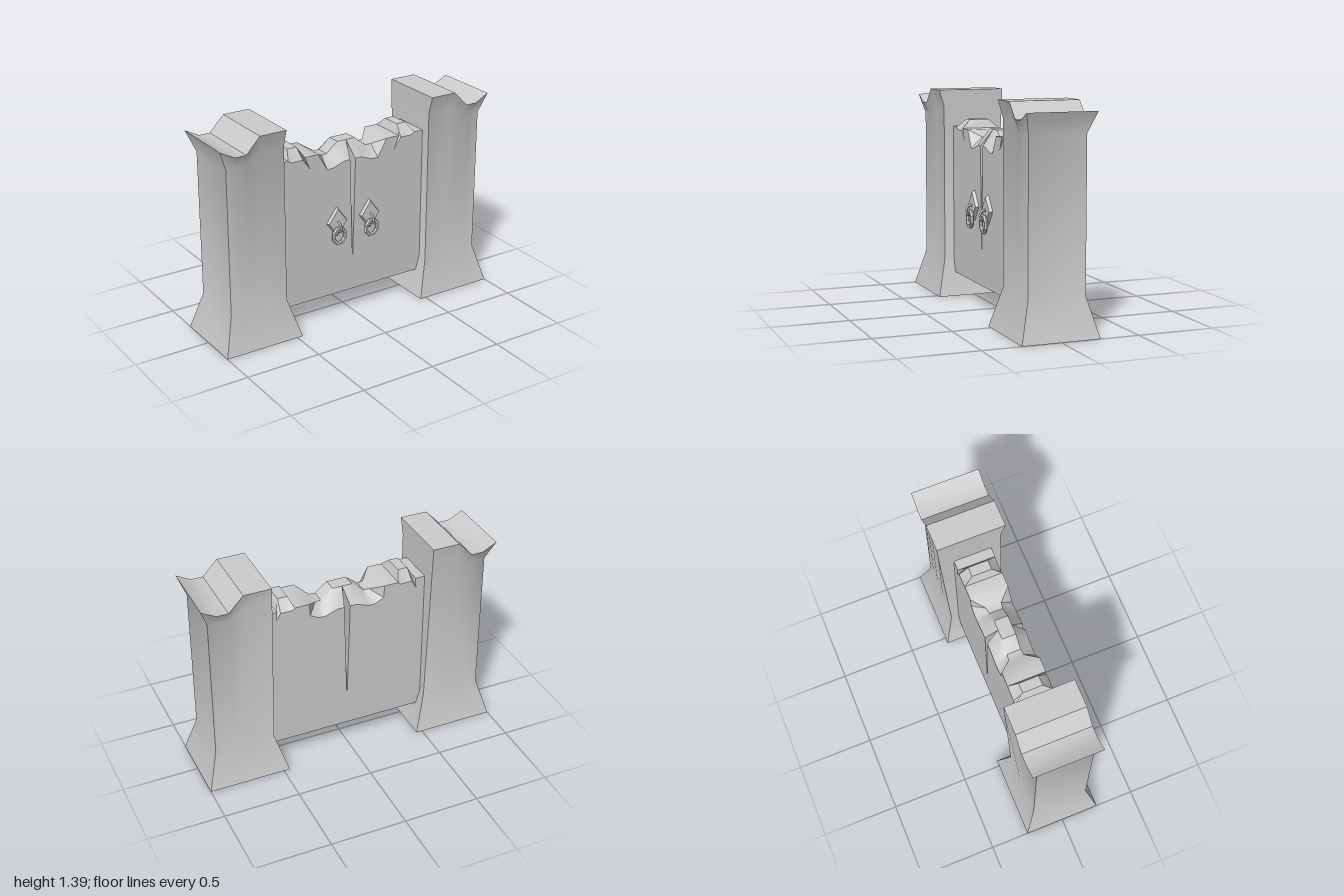
import * as THREE from 'three';
import { toCreasedNormals } from 'three/addons/utils/BufferGeometryUtils.js';

const material = new THREE.MeshStandardMaterial({ color: 0xcccccc, side: THREE.DoubleSide });

// Skins sections that run up the front, over the top and down the back; side = -1 mirrors in x
function skin(name, sections, side, capFirst, capLast) {
  const pos = [];
  const tri = (...pts) => {
    if (side < 0) pts.reverse();
    for (const [x, y, z] of pts) pos.push(x * side, y, z);
  };
  const quad = (a, b, c, d) => { tri(a, b, c); tri(a, c, d); };
  for (let i = 0; i < sections.length - 1; i++) {
    const a = sections[i], b = sections[i + 1];
    for (let j = 0; j < a.length - 1; j++) quad(a[j], b[j], b[j + 1], a[j + 1]);
  }
  const cap = (s, flip) => {
    const n = s.length - 1;
    for (let j = 0; j < s.length / 2 - 1; j++) {
      const q = [s[j], s[n - j], s[n - j - 1], s[j + 1]];
      quad(...(flip ? q.reverse() : q));
    }
  };
  if (capFirst) cap(sections[0], true);
  if (capLast) cap(sections[sections.length - 1], false);
  const g = new THREE.BufferGeometry();
  g.setAttribute('position', new THREE.Float32BufferAttribute(pos, 3));
  const mesh = new THREE.Mesh(toCreasedNormals(g, 0.6), material);
  mesh.name = name;
  return mesh;
}

// Pillar: splayed foot, straight shaft, flared and carved top, open below
function pillar(side) {
  // [top x, top y, shoulder x, shoulder y]
  const columns = [
    [0.535, 1.39, 0.535, 1.28],
    [0.715, 1.39, 0.7, 1.28],
    [0.81, 1.29, 0.79, 1.215],
    [0.885, 1.29, 0.865, 1.21],
    [0.98, 1.34, 0.93, 1.21],
  ];
  const sections = columns.map(([tx, ty, sx, sy]) => {
    const u = (sx - 0.535) / 0.395;
    const footX = 0.46 + 0.54 * u;
    const backShoulder = -0.228 + 0.045 * u; // the back leans out toward the gate
    return [
      [footX, 0, 0.25], [sx, 0.25, 0.185], [sx, sy, 0.185], [tx, ty, 0.218],
      [tx, ty, -0.232], [sx, sy, backShoulder], [sx, 0.25, -0.183], [footX, 0, -0.25],
    ];
  });
  return skin('pillar', sections, side, true, true);
}

// Gate leaf: worn top edge, tapering slit at the centre, open below
function gateLeaf(side) {
  // [top x, top y, top half depth, shoulder x, shoulder y]
  const columns = [
    [0, 1.165, 0.045, 0.02, 1.06],
    [0.065, 1.165, 0.045, 0.065, 1.06],
    [0.145, 1.1, 0.045, 0.145, 1.03],
    [0.185, 1.1, 0.05, 0.19, 1.03],
    [0.255, 1.145, 0.125, 0.25, 1.06],
    [0.35, 1.145, 0.125, 0.315, 1.06],
    [0.375, 1.2, 0.065, 0.365, 1.13],
    [0.44, 1.2, 0.065, 0.445, 1.13],
    [0.47, 1.145, 0.125, 0.475, 1.08],
    [0.535, 1.145, 0.125, 0.535, 1.08],
  ];
  const midZ = -0.005, half = 0.125;
  const sections = columns.map(([tx, ty, depth, sx, sy], i) => {
    const lowX = i === 0 ? 0 : sx;
    const footX = i === columns.length - 1 ? 0.507 : lowX;
    const rise = [[footX, 0.155, half], [lowX, 0.25, half], [lowX, 0.35, half], [sx, sy, half], [tx, ty, depth]];
    const front = rise.map(([x, y, d]) => [x, y, midZ + d]);
    const back = rise.map(([x, y, d]) => [x, y, midZ - d]).reverse();
    return [...front, ...back];
  });
  return skin('gateLeaf', sections, side, true, false);
}

// Handle: diamond plate, staple and hanging ring
function handle(side) {
  const group = new THREE.Group();
  group.name = 'handle';
  const add = (name, geometry, x, y, z) => {
    geometry = toCreasedNormals(geometry, 0.3);
    const mesh = new THREE.Mesh(geometry, material);
    mesh.name = name;
    mesh.position.set(x, y, z);
    group.add(mesh);
    return mesh;
  };
  const plate = new THREE.CylinderGeometry(0.066, 0.075, 0.022, 4);
  plate.rotateX(Math.PI / 2).scale(1, 1.35, 1);
  add('handlePlate', plate, 0, 0.663, 0.13);
  const staple = new THREE.TorusGeometry(0.032, 0.008, 4, 8);
  staple.rotateY(Math.PI / 2).scale(1, 1.05, 1);
  add('staple', staple, 0, 0.633, 0.147);
  const ring = new THREE.TorusGeometry(0.047, 0.013, 6, 8);
  ring.rotateZ(Math.PI / 8).scale(0.95, 1.12, 1);
  add('ring', ring, 0, 0.576, 0.154);
  group.position.x = 0.123 * side;
  return group;
}

export function createModel() {
  const model = new THREE.Group();
  model.name = 'gate';
  for (const side of [1, -1]) model.add(pillar(side), gateLeaf(side), handle(side));
  return model;
}
